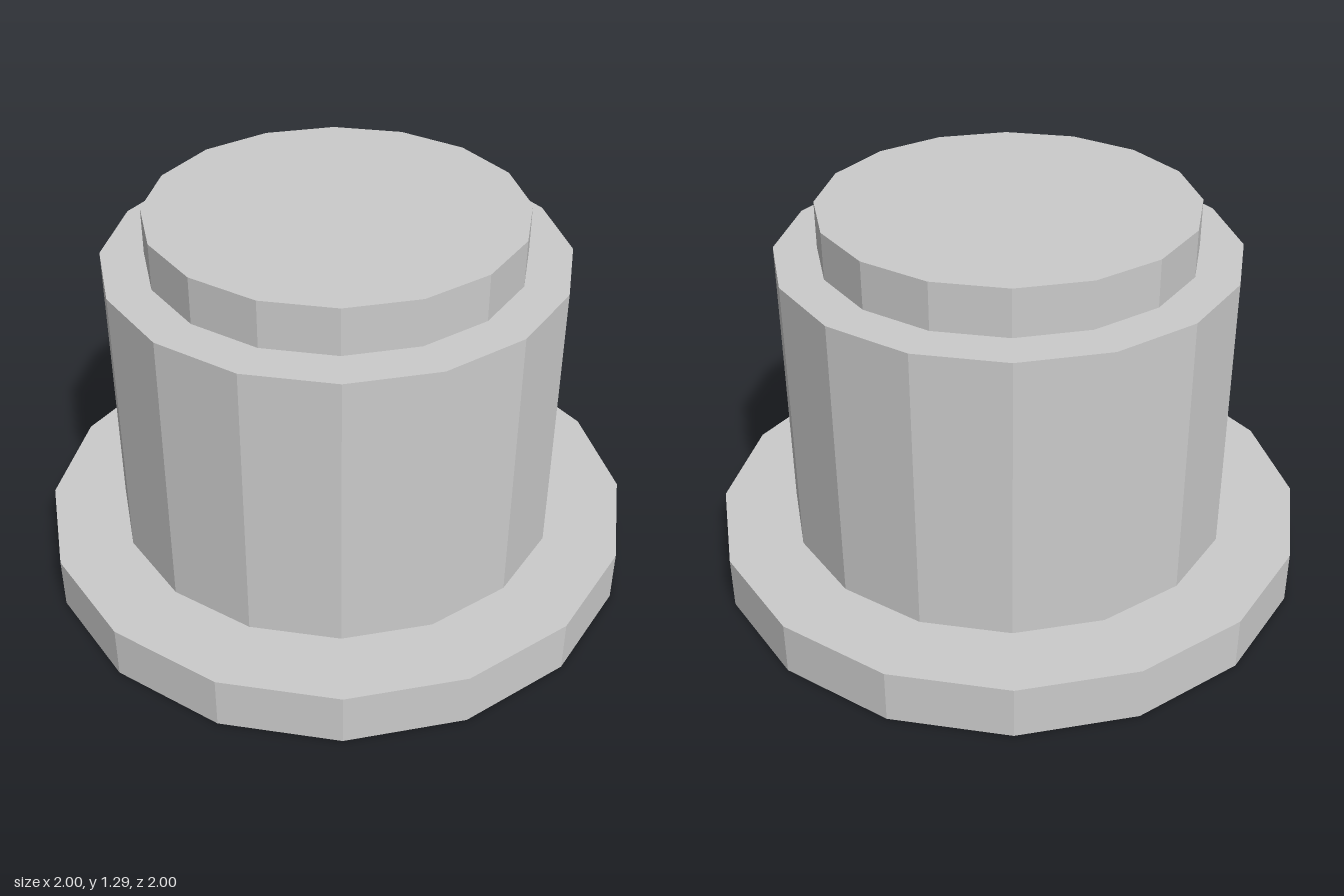
import * as THREE from 'three';

const SIDES = 16;

export function createModel() {
  const group = new THREE.Group();
  const material = new THREE.MeshStandardMaterial({ color: 0xcccccc, flatShading: true });

  // Stacked faceted discs: name, radius, bottom, top
  const tiers = [
    ['baseFlange', 1, 0, 0.18],
    ['body', 0.75, 0.18, 1.135],
    ['topCap', 0.61, 1.135, 1.29],
  ];

  for (const [name, radius, bottom, top] of tiers) {
    const geometry = new THREE.CylinderGeometry(radius, radius, top - bottom, SIDES);
    const mesh = new THREE.Mesh(geometry, material);
    mesh.name = name;
    mesh.position.y = (bottom + top) / 2;
    group.add(mesh);
  }
  return group;
}
